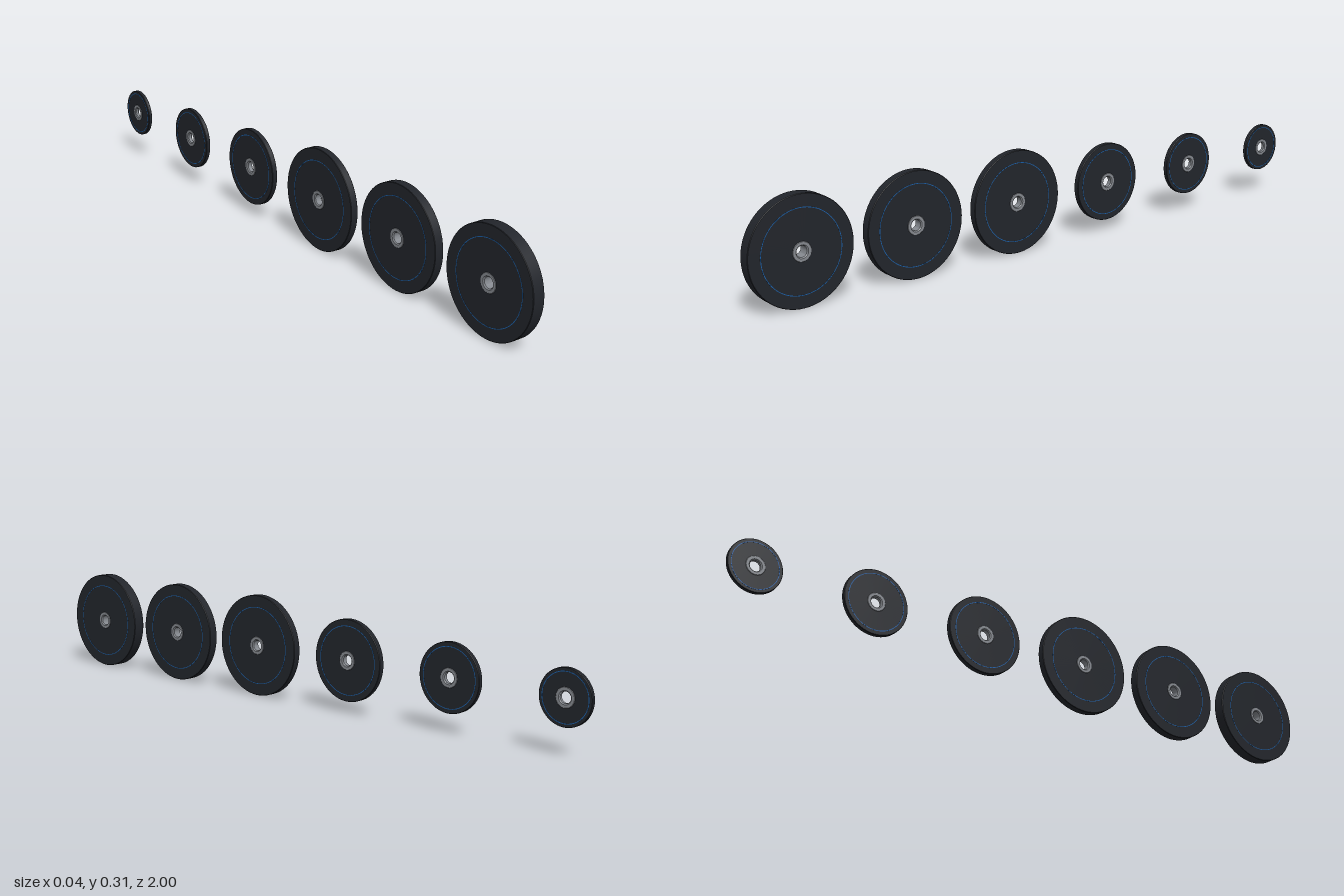
import * as THREE from 'three';
import { toCreasedNormals } from 'three/addons/utils/BufferGeometryUtils.js';

const rubber = new THREE.MeshStandardMaterial({ color: 0x22252b });
const steel = new THREE.MeshStandardMaterial({ color: 0x85898f });
const blue = new THREE.MeshStandardMaterial({ color: 0x1a5fa8 });

// Closed profile [radius, offset along the axle] spun around the x axis
function spin(name, profile, material) {
  const points = [...profile, profile[0]].map(([r, a]) => new THREE.Vector2(r, a));
  const geometry = toCreasedNormals(new THREE.LatheGeometry(points, 72), 0.5);
  geometry.rotateZ(-Math.PI / 2);
  const mesh = new THREE.Mesh(geometry, material);
  mesh.name = name;
  return mesh;
}

function createPlate(radius, width, stripeRadius) {
  const plate = new THREE.Group();
  const h = width / 2, c = 0.0012;
  const bore = 0.0155, hub = 0.0275;

  // Rubber disc with slightly eased rims
  plate.add(spin('rubberDisc', [
    [hub - 0.002, -h], [radius - c, -h], [radius, -h + c],
    [radius, h - c], [radius - c, h], [hub - 0.002, h],
  ], rubber));

  // Steel sleeve, slightly proud of both faces, with a bevelled bore
  const s = h + 0.001;
  plate.add(spin('hubSleeve', [
    [bore, -s + 0.003], [bore + 0.003, -s], [hub - 0.001, -s], [hub, -h],
    [hub, h], [hub - 0.001, s], [bore + 0.003, s], [bore, s - 0.003],
  ], steel));

  // Thin coloured stripe on each face
  for (const side of [-1, 1]) {
    const stripe = spin(side > 0 ? 'leftStripe' : 'rightStripe', [
      [stripeRadius - 0.001, -0.0003], [stripeRadius + 0.001, -0.0003],
      [stripeRadius + 0.001, 0.0003], [stripeRadius - 0.001, 0.0003],
    ], blue);
    stripe.position.x = side * h;
    plate.add(stripe);
  }
  return plate;
}

export function createModel() {
  const model = new THREE.Group();
  model.name = 'weightPlateSet';

  // Radius, width and stripe radius, from the heaviest plate to the lightest
  const sizes = [
    [0.1535, 0.037, 0.117],
    [0.1535, 0.028, 0.117],
    [0.1535, 0.023, 0.117],
    [0.1195, 0.017, 0.1],
    [0.098, 0.014, 0.085],
    [0.077, 0.012, 0.067],
  ];
  sizes.forEach(([radius, width, stripe], i) => {
    const plate = createPlate(radius, width, stripe);
    plate.name = `weightPlate${i + 1}`;
    plate.position.set(-0.004, 0.1535, 0.8465 - i * 0.3539);
    model.add(plate);
  });
  return model;
}
